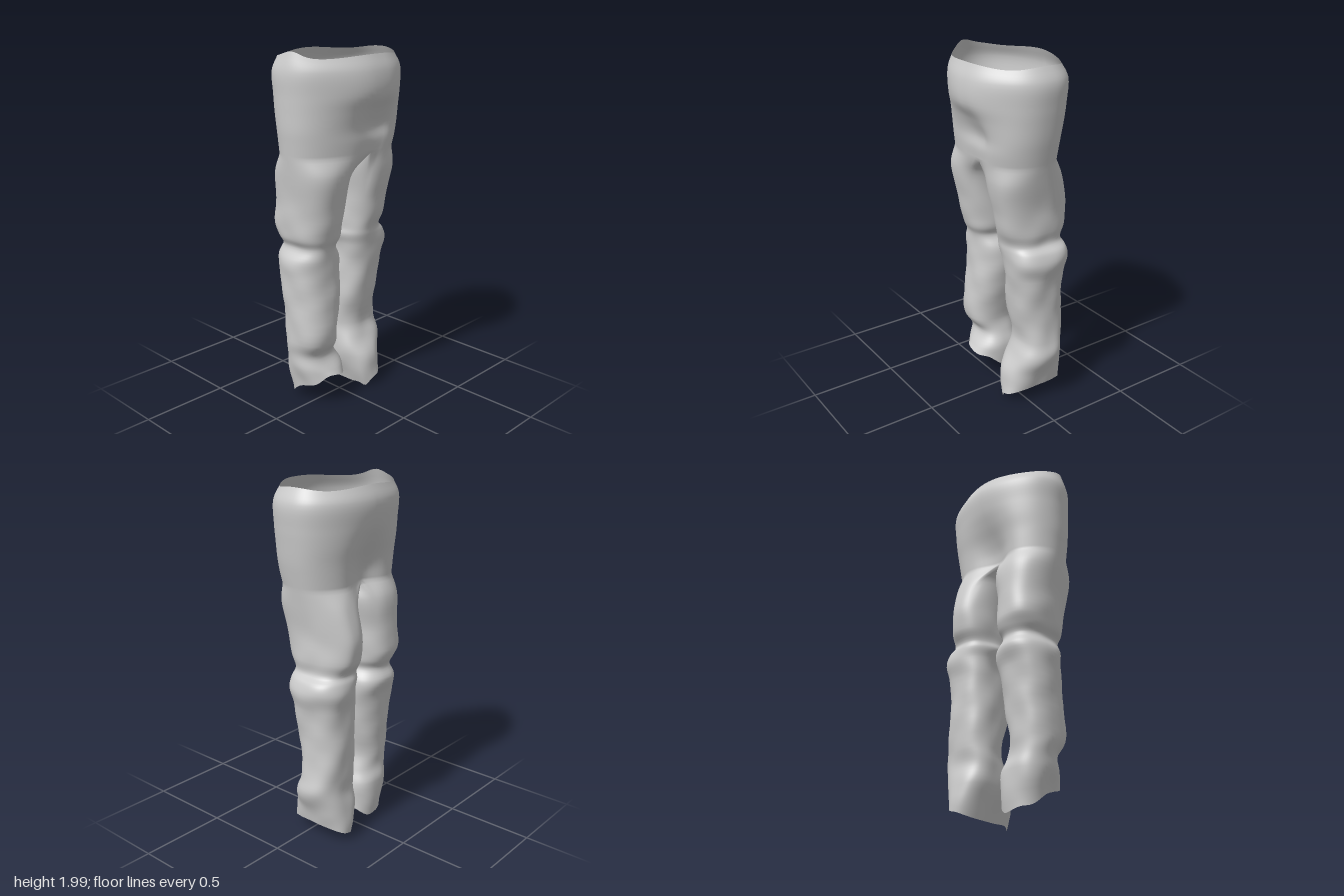
import * as THREE from 'three';
import { mergeGeometries, mergeVertices } from 'three/addons/utils/BufferGeometryUtils.js';

const OUTER = 44, INNER = 20, RING = OUTER + INNER;
const V = (x, y, z) => new THREE.Vector3(x, y, z);
const spow = (v, p) => Math.sign(v) * Math.abs(v) ** p;
const bump = (v, w) => Math.exp(-((v / w) ** 2));

// Hip levels: y, right x, left x, front z, back z, belly, front cleft, back cleft, front centre x, back centre x
const HIPS = [
  [1.975, -0.36, 0.345, 0.2, -0.245, 0.05, 0, 0, 0.015, 0],
  [1.90, -0.388, 0.385, 0.22, -0.275, 0.06, 0, 0, 0.02, 0],
  [1.78, -0.385, 0.38, 0.222, -0.272, 0.058, 0, 0.01, 0.03, 0],
  [1.69, -0.382, 0.37, 0.22, -0.265, 0.025, 0.015, 0.035, 0.05, -0.01],
  [1.60, -0.378, 0.358, 0.217, -0.252, 0, 0.025, 0.065, 0.07, -0.02],
  [1.53, -0.37, 0.345, 0.212, -0.246, 0, 0.015, 0.085, 0.07, -0.03],
  [1.46, -0.362, 0.331, 0.203, -0.24, 0, 0.015, 0.09, 0.05, -0.03],
];

// Leg levels: y, low x, high x, back z, front z
const RIGHT_LEG = [
  [1.36, -0.35, 0.008, -0.235, 0.187], [1.2, -0.33, -0.025, -0.245, 0.16],
  [1.06, -0.328, -0.03, -0.25, 0.13], [1.0, -0.32, -0.035, -0.23, 0.115],
  [0.95, -0.298, -0.055, -0.21, 0.095], [0.88, -0.33, -0.02, -0.235, 0.095],
  [0.78, -0.33, -0.018, -0.21, 0.095], [0.6, -0.328, -0.035, -0.185, 0.105],
  [0.4, -0.32, -0.075, -0.175, 0.115], [0.31, -0.305, -0.055, -0.17, 0.065],
  [0.23, -0.3, -0.018, -0.185, 0.1], [0.05, -0.272, -0.02, -0.175, 0.12],
];
const LEFT_LEG = [
  [1.36, 0.014, 0.316, -0.24, 0.187], [1.2, 0.03, 0.295, -0.28, 0.155],
  [1.07, 0.03, 0.298, -0.275, 0.13], [1.0, 0.03, 0.292, -0.235, 0.105],
  [0.96, 0.02, 0.335, -0.245, 0.1], [0.9, 0.038, 0.355, -0.248, 0.095],
  [0.8, 0.045, 0.33, -0.235, 0.08], [0.6, 0.04, 0.312, -0.235, 0.06],
  [0.4, 0.045, 0.33, -0.225, 0.02], [0.31, 0.042, 0.343, -0.22, 0.05],
  [0.2, 0.045, 0.3, -0.245, 0.1], [0.05, 0.1, 0.275, -0.245, 0.115],
];

// Half of a hip ring, from the front seam round one side to the back seam
function hipRing([y, xr, xl, zf, zb, belly, df, db, cf, cb], s, level) {
  const pts = [], [pFront, pBack] = s > 0 ? [0.72, 1.05] : [0.9, 1];
  for (let j = 0; j <= OUTER; j++) {
    const t = j / OUTER, a = Math.PI * t;
    const c = cf + (cb - cf) * t, p = pFront + (pBack - pFront) * t;
    const x = c + ((s > 0 ? xl : xr) - c) * spow(j === OUTER ? 0 : Math.sin(a), p);
    const z = (zf + zb) / 2 + (zf - zb) / 2 * spow(Math.cos(a), p)
      + belly * bump(a, 0.55) - df * bump(a, 0.2) + db * bump(Math.PI - a, 0.35);
    // wavy waist edge with one raised corner
    const rim = level ? 0 : 0.008 * Math.cos(a * 4) + (s < 0 ? 0.022 * bump(a - 1.4, 0.25) : 0);
    pts.push(V(x, y + rim, z));
  }
  return pts;
}

// Crotch seam, sagging from the back point to the front point
function addCrotch(ring) {
  const f = ring[0], b = ring[OUTER], pts = ring.slice();
  for (let k = 1; k <= INNER; k++) {
    const t = k / INNER, p = b.clone().lerp(f, t);
    p.y -= 0.04 * Math.sin(Math.PI * t);
    pts.push(k === INNER ? f.clone() : p);
  }
  return pts;
}

// Left hem dips on the inside with a small point; right hem dips at the back
const hemY = (a, s) => s > 0
  ? 0.062 + 0.04 * Math.sin(a) - 0.03 * bump(a + 0.6, 0.25)
  : 0.11 + 0.085 * Math.cos(a) + 0.008 * Math.sin(a * 5);

function legRing([y, x0, x1, zb, zf], s, isHem) {
  const pts = [], start = -Math.PI * (OUTER - RING / 2) / RING;
  for (let j = 0; j <= RING; j++) {
    const a = start + 2 * Math.PI * (j % RING) / RING;
    const hemAngle = a > 1.5 * Math.PI - 0.6 ? a - 2 * Math.PI : a;
    // thighs are rounder at the outer back of the left leg, squarer elsewhere
    const soft = s > 0 && y > 1 ? 0.25 * bump(a - 2.36, 0.7) : 0;
    const p = (s > 0 ? 0.77 : 0.83) + soft;
    pts.push(V((x0 + x1) / 2 + s * (x1 - x0) / 2 * spow(Math.sin(a), p),
      isHem ? hemY(hemAngle, s) : y,
      (zf + zb) / 2 + (zf - zb) / 2 * spow(Math.cos(a), p)));
  }
  return pts;
}

// Smooth skin through a stack of rings, with an optional rule for each fine ring
function loft(rings, sub, s, rule) {
  const rows = (rings.length - 1) * sub, n = rings[0].length;
  const curves = rings[0].map((_, j) => new THREE.CatmullRomCurve3(rings.map(r => r[j])));
  const pos = [], index = [];
  for (let i = 0; i <= rows; i++) {
    const row = curves.map(c => c.getPoint(i / rows));
    if (rule) rule(row);
    row.forEach(p => pos.push(p.x, p.y, p.z));
  }
  for (let i = 0; i < rows; i++) for (let j = 0; j < n - 1; j++) {
    const a = i * n + j, b = a + 1, c = a + n, d = c + 1;
    index.push(...(s > 0 ? [a, c, b, b, c, d] : [a, b, c, b, d, c]));
  }
  const g = new THREE.BufferGeometry();
  g.setAttribute('position', new THREE.Float32BufferAttribute(pos, 3));
  return g.setIndex(index);
}

// Slanting cloth folds, fading out towards the hips
const folds = s => row => {
  const mid = row.reduce((m, p) => m.add(p), V(0, 0, 0)).divideScalar(row.length);
  row.forEach(p => {
    const dx = p.x - mid.x, dz = p.z - mid.z, a = Math.atan2(dx * s, dz);
    const fade = 1 - THREE.MathUtils.smoothstep(p.y, 0.95, 1.4);
    const w = Math.sin(2 * a + 15 * p.y + s) + 0.7 * Math.sin(5 * a - 22 * p.y)
      + 0.5 * Math.sin(3 * a + 41 * p.y);
    const k = 1 + 0.018 * fade * w;
    p.x = mid.x + dx * k;
    p.z = mid.z + dz * k;
  });
};

export function createModel() {
  const group = new THREE.Group();
  group.name = 'trousers';
  const parts = [];
  for (const [s, side, table] of [[1, 'left', LEFT_LEG], [-1, 'right', RIGHT_LEG]]) {
    const hips = HIPS.map((r, i) => hipRing(r, s, i));
    const leg = [addCrotch(hips[hips.length - 1]),
      ...table.map((r, i) => legRing(r, s, i === table.length - 1))];
    parts.push([side + 'Hip', loft(hips, 5, s)], [side + 'Leg', loft(leg, 5, s, folds(s))]);
  }
  // Weld everything so that shading runs smoothly across the seams, then split by part
  const skin = mergeVertices(mergeGeometries(parts.map(p => p[1])), 1e-4);
  skin.computeVertexNormals();
  const material = new THREE.MeshStandardMaterial({ color: 0xcccccc, side: THREE.DoubleSide });
  let from = 0;
  for (const [name, part] of parts) {
    const g = new THREE.BufferGeometry(), count = part.index.count;
    g.setAttribute('position', skin.attributes.position);
    g.setAttribute('normal', skin.attributes.normal);
    g.setIndex(Array.from(skin.index.array.slice(from, from + count)));
    from += count;
    const mesh = new THREE.Mesh(g, material);
    mesh.name = name;
    group.add(mesh);
  }
  return group;
}
